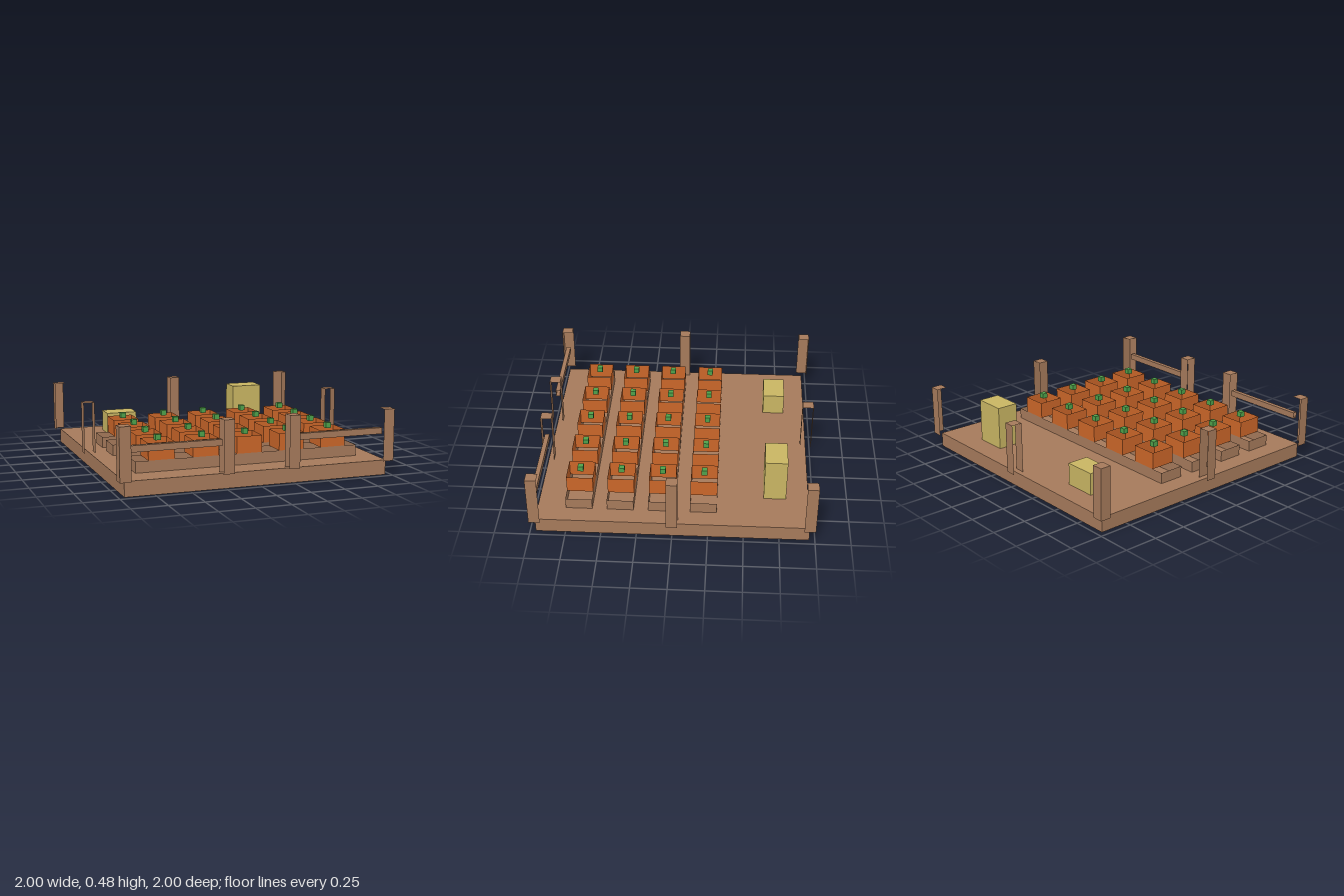
import * as THREE from 'three';

const SIDES = ['px', 'nx', 'py', 'ny', 'pz', 'nz'];

// Box between two corners that keeps only the listed faces
function shell(x0, x1, y0, y1, z0, z1, faces) {
  const g = new THREE.BoxGeometry(x1 - x0, y1 - y0, z1 - z0);
  const all = Array.from(g.index.array);
  const kept = [];
  SIDES.forEach((side, i) => {
    if (faces.includes(side)) kept.push(...all.slice(i * 6, i * 6 + 6));
  });
  g.setIndex(kept);
  g.clearGroups();
  g.translate((x0 + x1) / 2, (y0 + y1) / 2, (z0 + z1) / 2);
  return g;
}

export function createModel() {
  const flat = (name, color) => {
    const m = new THREE.MeshStandardMaterial({ color, side: THREE.DoubleSide });
    m.name = name;
    return m;
  };
  const wood = flat('earthBrown', 0xa67a5b);
  const orange = flat('pumpkinOrange', 0xcb6629);
  const straw = flat('strawYellow', 0xc9b663);
  const green = flat('stemGreen', 0x4fa24b);

  const model = new THREE.Group();
  model.name = 'pumpkinPatch';
  const add = (name, material, ...box) => {
    const mesh = new THREE.Mesh(shell(...box), material);
    mesh.name = name;
    model.add(mesh);
  };

  const walls = ['px', 'nx', 'pz', 'nz'];
  const openBelow = [...walls, 'py'];

  // Ground slab, open underneath
  add('ground', wood, -0.96, 0.96, 0, 0.107, -0.96, 0.96, openBelow);

  // Planting ridges with open-topped pumpkins and their stems
  for (const z of [-0.215, 0.08, 0.373, 0.665]) {
    add('ridge', wood, -0.825, 0.825, 0.107, 0.187, z - 0.094, z + 0.094, walls);
    for (const x of [-0.64, -0.32, 0, 0.32, 0.64]) {
      add('pumpkin', orange, x - 0.094, x + 0.094, 0.187, 0.308, z - 0.094, z + 0.094, walls);
      add('stem', green, x - 0.02, x + 0.02, 0.308, 0.347, z - 0.02, z + 0.02, openBelow);
    }
  }

  // Straw bales, one low and one tall
  add('lowBale', straw, -0.65, -0.413, 0.107, 0.267, -0.8, -0.64, openBelow);
  add('tallBale', straw, 0.413, 0.65, 0.107, 0.427, -0.8, -0.64, openBelow);

  // Fence posts: capped, with only some of their sides boarded
  const post = (name, x, z, sides) =>
    add(name, wood, x - 0.04, x + 0.04, 0.107, 0.48, z - 0.04, z + 0.04, ['py', ...sides]);
  post('backPost', 0, -0.96, ['pz', 'nz']);
  for (const s of [-1, 1]) {
    const outer = s > 0 ? 'px' : 'nx';
    post('frontCornerPost', s * 0.96, 0.96, [outer, 'pz']);
    post('backCornerPost', s * 0.96, -0.96, [outer, 'nz']);
    post('sidePost', s * 0.96, 0, ['px', 'nx']);
    post('gatePost', s * 0.24, 0.96, ['pz', 'nz']);
    // Front rail
    const c = s * 0.6;
    add('rail', wood, c - 0.32, c + 0.32, 0.3, 0.345, 0.94, 0.973, ['py', 'ny', 'pz', 'nz']);
  }
  return model;
}
